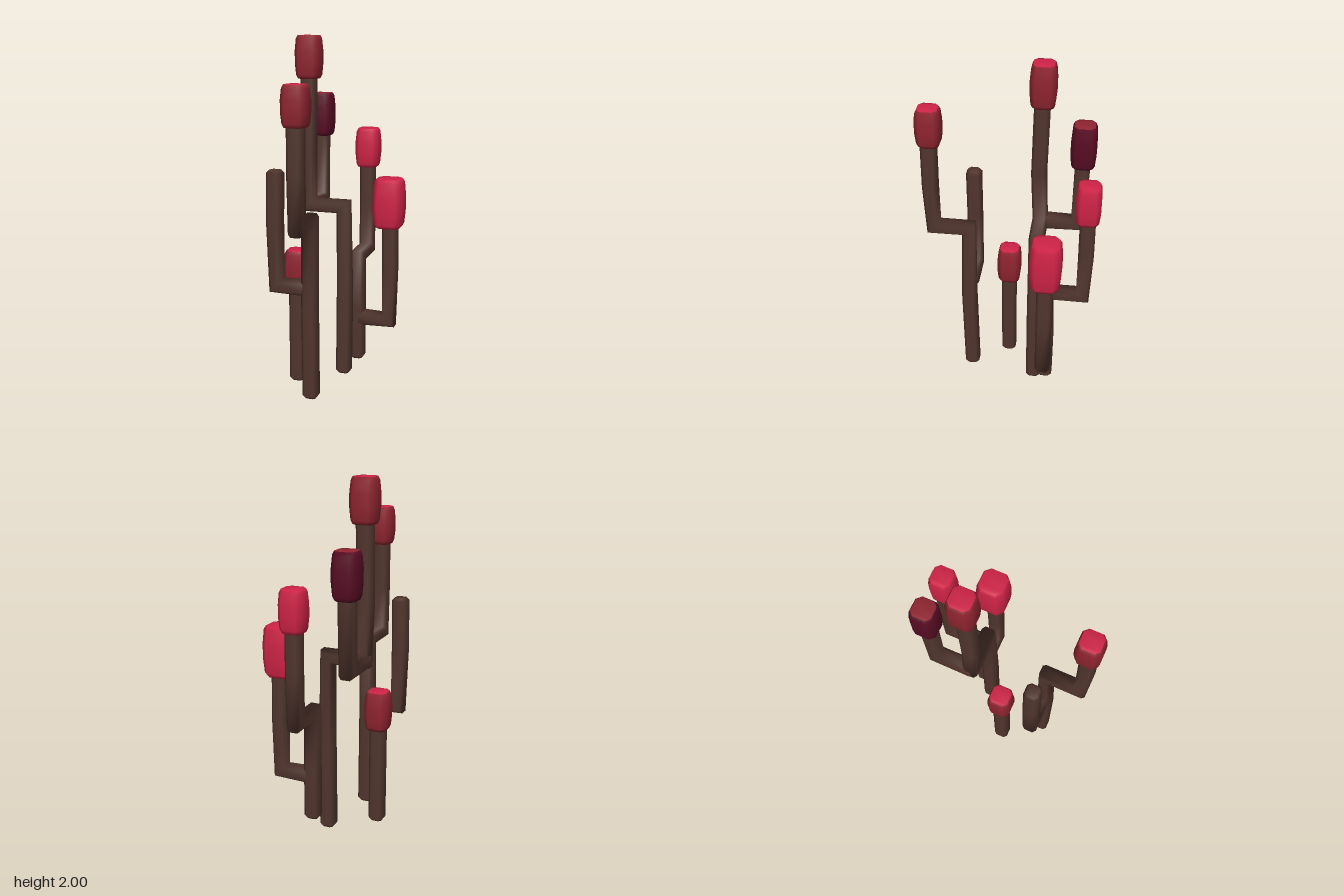
import * as THREE from 'three';

const V = (x, y, z) => new THREE.Vector3(x, y, z);

// Square with cut corners, counter-clockwise, half width 1
const C = 0.6;
const SECTION = [[1, -C], [1, C], [C, 1], [-C, 1], [-1, C], [-1, -C], [-C, -1], [C, -1]];

// Skin a list of 8-point rings; group 0 is sides and start cap, group 1 the end cap
function loft(rings) {
  const pos = [], idx = [], n = SECTION.length;
  rings.forEach(r => r.forEach(p => pos.push(p.x, p.y, p.z)));
  for (let i = 0; i < rings.length - 1; i++) {
    for (let k = 0; k < n; k++) {
      const a = i * n + k, b = i * n + (k + 1) % n;
      idx.push(a, b, b + n, a, b + n, a + n);
    }
  }
  for (let k = 1; k < n - 1; k++) idx.push(0, k + 1, k);
  const sideCount = idx.length, last = (rings.length - 1) * n;
  for (let k = 1; k < n - 1; k++) idx.push(last, last + k, last + k + 1);
  const g = new THREE.BufferGeometry();
  g.setAttribute('position', new THREE.Float32BufferAttribute(pos, 3));
  g.setIndex(idx);
  g.addGroup(0, sideCount, 0);
  g.addGroup(sideCount, idx.length - sideCount, 1);
  g.computeVertexNormals();
  return g;
}

// Sweep the section along a path lying in a vertical plane with normal s
function stemGeometry(points, s, half = 0.043) {
  const p = points.map(a => V(...a)), bevel = 0.016, end = p.length - 1;
  const ring = (c, t, sn, sv) => {
    const n = s.clone().cross(t);
    return SECTION.map(([u, v]) =>
      c.clone().addScaledVector(n, u * half * sn).addScaledVector(s, v * half * sv));
  };
  const rings = [];
  p.forEach((c, i) => {
    const tin = i > 0 ? c.clone().sub(p[i - 1]).normalize() : null;
    const tout = i < end ? p[i + 1].clone().sub(c).normalize() : null;
    if (!tin) {
      rings.push(ring(c, tout, 0.72, 0.72), ring(c.clone().addScaledVector(tout, bevel), tout, 1, 1));
    } else if (!tout) {
      rings.push(ring(c.clone().addScaledVector(tin, -bevel), tin, 1, 1), ring(c, tin, 0.72, 0.72));
    } else {
      const t = tin.clone().add(tout).normalize();
      rings.push(ring(c, t, Math.min(1 / t.dot(tin), 1.22), 1));
    }
  });
  return loft(rings);
}

// Bulging block with bevelled ends
function budGeometry(half, height) {
  const b = 0.02;
  const profile = [[0, 0.78], [b, 0.9], [height * 0.35, 0.98], [height * 0.65, 0.98],
    [height - b, 0.9], [height, 0.78]];
  return loft(profile.map(([y, f]) => SECTION.map(([u, v]) => V(v * half * f, y, u * half * f))));
}

export function createModel() {
  const model = new THREE.Group();
  model.name = 'buddingStems';

  const mat = (name, color) => {
    const m = new THREE.MeshStandardMaterial({ color });
    m.name = name;
    return m;
  };
  const brown = mat('stemBrown', 0x50352d);
  const bright = mat('brightCrimson', 0xcf2347);
  const red = mat('darkRed', 0x8f2430);
  const maroon = mat('maroon', 0x580c24);

  const X = V(1, 0, 0), Z = V(0, 0, 1);
  const stem = (name, normal, points) => {
    const m = new THREE.Mesh(stemGeometry(points, normal), [brown, brown]);
    m.name = name;
    model.add(m);
  };
  const bud = (name, x, z, y0, y1, half, side, top) => {
    const m = new THREE.Mesh(budGeometry(half, y1 - y0), [side, top]);
    m.position.set(x, y0, z);
    m.name = name;
    model.add(m);
  };

  // Front plant: stem bending forward, with a bare side branch
  stem('frontStem', X, [[-0.083, 0.005, 0.235], [-0.083, 0.55, 0.243], [-0.083, 1.03, 0.235],
    [-0.083, 1.03, 0.437], [-0.083, 1.3, 0.445], [-0.083, 1.6, 0.442]]);
  stem('bareBranch', Z, [[-0.083, 0.65, 0.232], [-0.28, 0.65, 0.232], [-0.286, 1.0, 0.232],
    [-0.281, 1.297, 0.232]]);
  bud('frontBud', -0.083, 0.437, 1.56, 1.775, 0.07, red, bright);

  // Small single stem
  stem('shortStem', Z, [[-0.238, 0.005, 0.022], [-0.238, 0.35, 0.022], [-0.238, 0.62, 0.022]]);
  bud('shortBud', -0.237, 0.021, 0.575, 0.8, 0.07, red, bright);

  // Tall plant: stem bending sideways, with a branch to the back
  stem('tallStem', Z, [[-0.01, 0.005, -0.158], [-0.005, 0.5, -0.158], [-0.012, 1.03, -0.16],
    [-0.22, 1.03, -0.16], [-0.222, 1.35, -0.147], [-0.22, 1.8, -0.157]]);
  stem('tallBackBranch', X, [[-0.22, 1.03, -0.14], [-0.22, 1.03, -0.375], [-0.22, 1.45, -0.388]]);
  bud('tallBud', -0.22, -0.16, 1.76, 2.0, 0.072, red, bright);
  bud('tallBackBud', -0.22, -0.388, 1.41, 1.66, 0.072, maroon, red);

  // Back plant: stem bending backwards, with a branch to the left
  stem('backStem', X, [[0.053, 0.08, -0.233], [0.053, 0.4, -0.235], [0.053, 0.72, -0.232],
    [0.053, 0.72, -0.435], [0.053, 1.0, -0.442], [0.053, 1.26, -0.44]]);
  stem('leftBranch', Z, [[0.053, 0.34, -0.233], [0.247, 0.34, -0.233], [0.25, 0.65, -0.233],
    [0.245, 0.95, -0.233]]);
  bud('backBud', 0.055, -0.438, 1.225, 1.455, 0.07, bright, bright);
  bud('leftBud', 0.238, -0.234, 0.91, 1.195, 0.089, bright, bright);

  return model;
}
